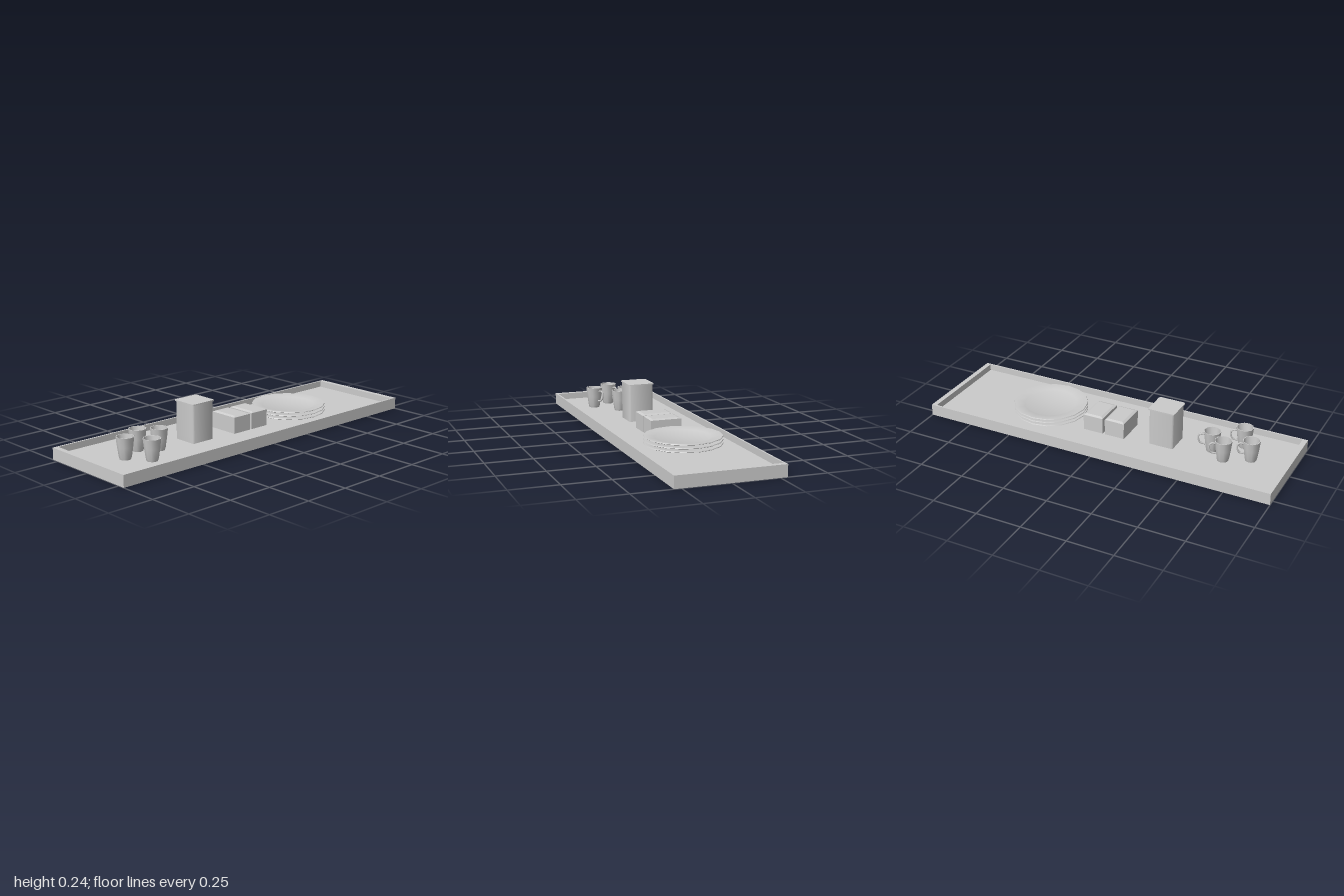
import * as THREE from 'three';
import { toCreasedNormals } from 'three/addons/utils/BufferGeometryUtils.js';

const mat = new THREE.MeshStandardMaterial({ color: 0xcccccc, side: THREE.DoubleSide });
const FLOOR = 0.029;

function add(parent, name, geometry, x = 0, y = 0, z = 0) {
  const mesh = new THREE.Mesh(geometry, mat);
  mesh.name = name;
  mesh.position.set(x, y, z);
  parent.add(mesh);
  return mesh;
}

function box(parent, name, [w, h, d], [x, y, z]) {
  return add(parent, name, new THREE.BoxGeometry(w, h, d), x, y, z);
}

// Turned solid from [radius, height] pairs
function turned(points, sides) {
  const pts = points.map(([r, y]) => new THREE.Vector2(r, y));
  return toCreasedNormals(new THREE.LatheGeometry(pts, sides), 0.8);
}

// Upright block with rounded vertical corners, standing on y = 0
function roundedBlock(w, d, h, r) {
  const s = new THREE.Shape();
  const a = w / 2 - r, b = d / 2 - r;
  s.absarc(a, b, r, 0, Math.PI / 2);
  s.absarc(-a, b, r, Math.PI / 2, Math.PI);
  s.absarc(-a, -b, r, Math.PI, Math.PI * 1.5);
  s.absarc(a, -b, r, Math.PI * 1.5, Math.PI * 2);
  const g = new THREE.ExtrudeGeometry(s, { depth: h, bevelEnabled: false, curveSegments: 3 });
  return toCreasedNormals(g.rotateX(-Math.PI / 2), 0.8);
}

// Block whose top is inset on every side, standing on y = 0
function taperedBlock(w, d, h, inset) {
  const g = new THREE.BoxGeometry(w, h, d).translate(0, h / 2, 0);
  const p = g.attributes.position;
  for (let i = 0; i < p.count; i++) {
    if (p.getY(i) < h / 2) continue;
    p.setX(i, p.getX(i) - Math.sign(p.getX(i)) * inset);
    p.setZ(i, p.getZ(i) - Math.sign(p.getZ(i)) * inset);
  }
  g.computeVertexNormals();
  return g;
}

function makeTray() {
  const tray = new THREE.Group();
  tray.name = 'tray';
  const s = new THREE.Shape();
  s.moveTo(-1, -0.288).lineTo(1, -0.288).lineTo(1, 0.288).lineTo(-1, 0.288).closePath();
  const hole = new THREE.Path();
  hole.moveTo(-0.972, -0.278).lineTo(-0.972, 0.278).lineTo(0.972, 0.278).lineTo(0.972, -0.278).closePath();
  s.holes.push(hole);
  const rim = new THREE.ExtrudeGeometry(s, { depth: 0.064, bevelEnabled: false });
  add(tray, 'trayRim', rim.rotateX(-Math.PI / 2));
  box(tray, 'trayFloor', [1.944, FLOOR, 0.556], [0, FLOOR / 2, 0]);
  return tray;
}

function makeMug(x, z) {
  const mug = new THREE.Group();
  mug.name = 'mug';
  mug.position.set(x, FLOOR, z);
  mug.rotation.y = 0.45;
  add(mug, 'mugCup', turned([
    [0, 0], [0.029, 0], [0.033, 0.012], [0.041, 0.065], [0.047, 0.117],
    [0.043, 0.117], [0.037, 0.065], [0.029, 0.012], [0, 0.01],
  ], 10));
  const path = new THREE.CatmullRomCurve3([
    [0.041, 0.098], [0.06, 0.101], [0.072, 0.091], [0.071, 0.062], [0.06, 0.046], [0.037, 0.04],
  ].map(([px, py]) => new THREE.Vector3(px, py, 0)));
  add(mug, 'mugHandle', new THREE.TubeGeometry(path, 12, 0.005, 6));
  return mug;
}

function makePlate(y) {
  return turned([
    [0, 0.001], [0.1, -0.006], [0.112, 0], [0.2, 0.012], [0.206, 0.015],
    [0.204, 0.019], [0.198, 0.019], [0.148, 0.011], [0.14, 0.008], [0, 0.008],
  ], 16).translate(0, y, 0);
}

export function createModel() {
  const model = new THREE.Group();
  model.name = 'servingTray';
  model.add(makeTray());

  // Four mugs
  for (const [x, z] of [[-0.78, 0.02], [-0.65, -0.045], [-0.562, 0.02], [-0.7, 0.133]]) {
    model.add(makeMug(x, z));
  }

  // Canister with a slightly wider lid
  const canister = new THREE.Group();
  canister.name = 'canister';
  canister.position.set(-0.306, 0, 0.001);
  add(canister, 'canisterBody', roundedBlock(0.138, 0.138, 0.235 - FLOOR, 0.008), 0, FLOOR, 0);
  add(canister, 'canisterLid', roundedBlock(0.15, 0.148, 0.007, 0.01), 0, 0.234, 0);
  model.add(canister);

  // Pair of small boxes with bevelled tops
  for (const x of [-0.041, 0.087]) {
    const carton = new THREE.Group();
    carton.name = 'smallBox';
    carton.position.set(x, 0, -0.002);
    box(carton, 'smallBoxBody', [0.114, 0.118 - FLOOR, 0.172], [0, (0.118 + FLOOR) / 2, 0]);
    add(carton, 'smallBoxTop', taperedBlock(0.114, 0.172, 0.006, 0.014), 0, 0.118, 0);
    model.add(carton);
  }

  // Stack of three plates
  for (let i = 0; i < 3; i++) {
    add(model, 'plate', makePlate(0.036 + i * 0.019), 0.397, 0, 0.002);
  }
  return model;
}
